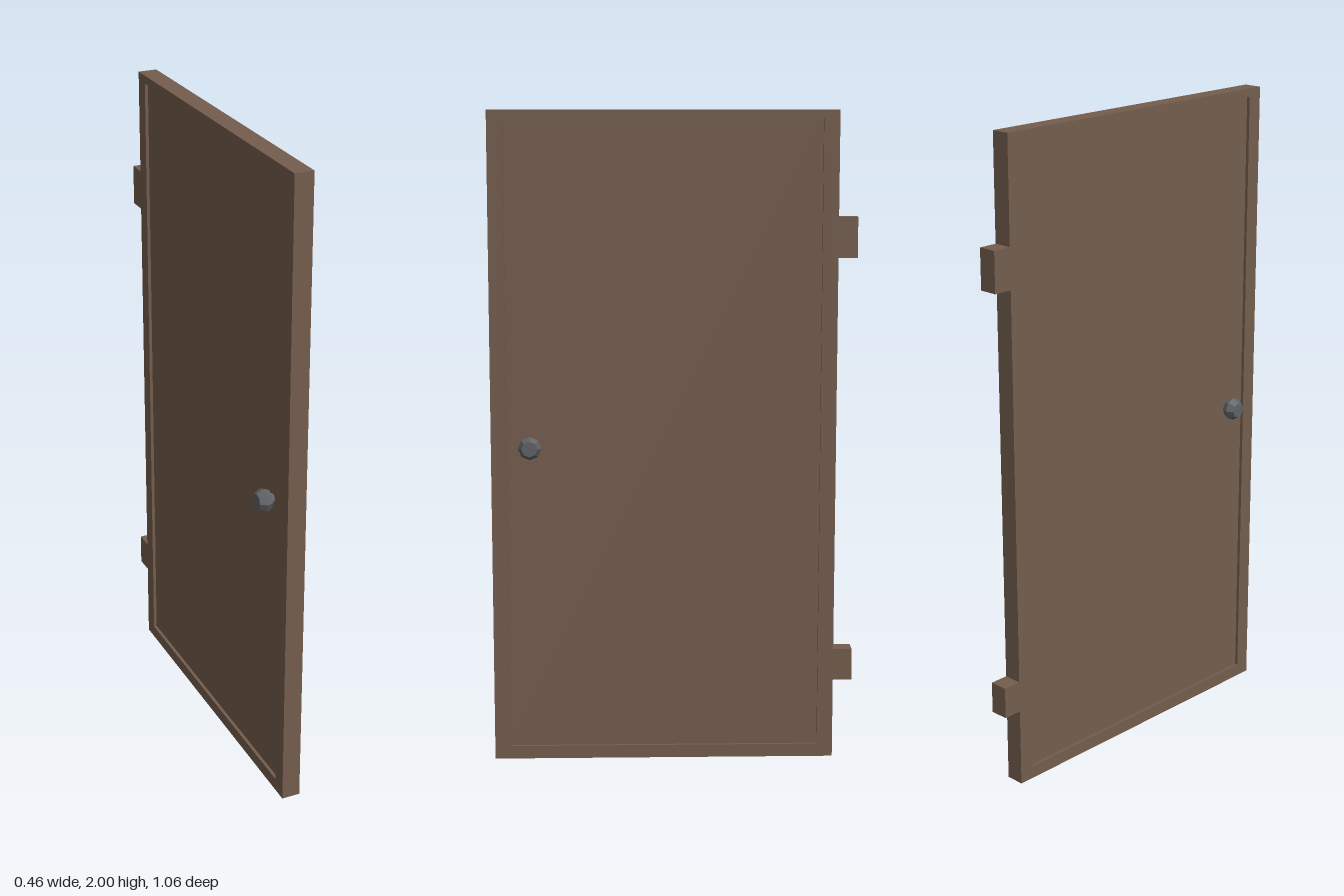
import * as THREE from 'three';

export function createModel() {
  const wood = new THREE.MeshStandardMaterial({ color: 0x735d4d });
  wood.name = 'brown wood';
  const metal = new THREE.MeshStandardMaterial({ color: 0x5f6265, flatShading: true });
  metal.name = 'grey metal';

  const T = 0.058; // door thickness
  const RECESS = 0.01;
  const left = -0.556, right = 0.498, height = 2;
  const inLeft = -0.508, inRight = 0.45, inBottom = 0.04, inTop = 1.975;

  const model = new THREE.Group();
  model.name = 'door';

  const add = (name, geometry, material, x, y, z) => {
    const mesh = new THREE.Mesh(geometry, material);
    mesh.name = name;
    mesh.position.set(x, y, z);
    model.add(mesh);
    return mesh;
  };

  const rectangle = (Type, x0, x1, y0, y1) => new Type([
    new THREE.Vector2(x0, y0), new THREE.Vector2(x1, y0),
    new THREE.Vector2(x1, y1), new THREE.Vector2(x0, y1),
  ]);

  // Outer frame with an opening for the panel
  const outline = rectangle(THREE.Shape, left, right, 0, height);
  outline.holes.push(rectangle(THREE.Path, inLeft, inRight, inBottom, inTop));
  add('frame', new THREE.ExtrudeGeometry(outline, { depth: T, bevelEnabled: false }), wood, 0, 0, -T / 2);

  // Panel, slightly recessed on both faces
  add('panel', new THREE.BoxGeometry(inRight - inLeft, inTop - inBottom, T - 2 * RECESS), wood,
    (inLeft + inRight) / 2, (inBottom + inTop) / 2, 0);

  // Hinge blocks on the far edge
  for (const [name, y0, y1] of [['lowerHinge', 0.247, 0.345], ['upperHinge', 1.56, 1.683]]) {
    add(name, new THREE.BoxGeometry(0.058, y1 - y0, T), wood, right + 0.029, (y0 + y1) / 2, 0);
  }

  // Faceted knobs, one on each face
  const profile = [[0.016, 0.015], [0.016, 0.031], [0.029, 0.031], [0.036, 0.048], [0.024, 0.07], [0, 0.07]]
    .map(([r, h]) => new THREE.Vector2(r, h));
  const knobGeometry = new THREE.LatheGeometry(profile, 8);
  for (const side of [1, -1]) {
    const knob = add(side > 0 ? 'frontKnob' : 'backKnob', knobGeometry, metal, -0.437, 0.985, 0);
    knob.rotation.x = side * Math.PI / 2;
  }

  // Door stands swung open
  model.rotation.y = 1.198;
  const root = new THREE.Group();
  root.name = 'openDoor';
  root.add(model);
  return root;
}
